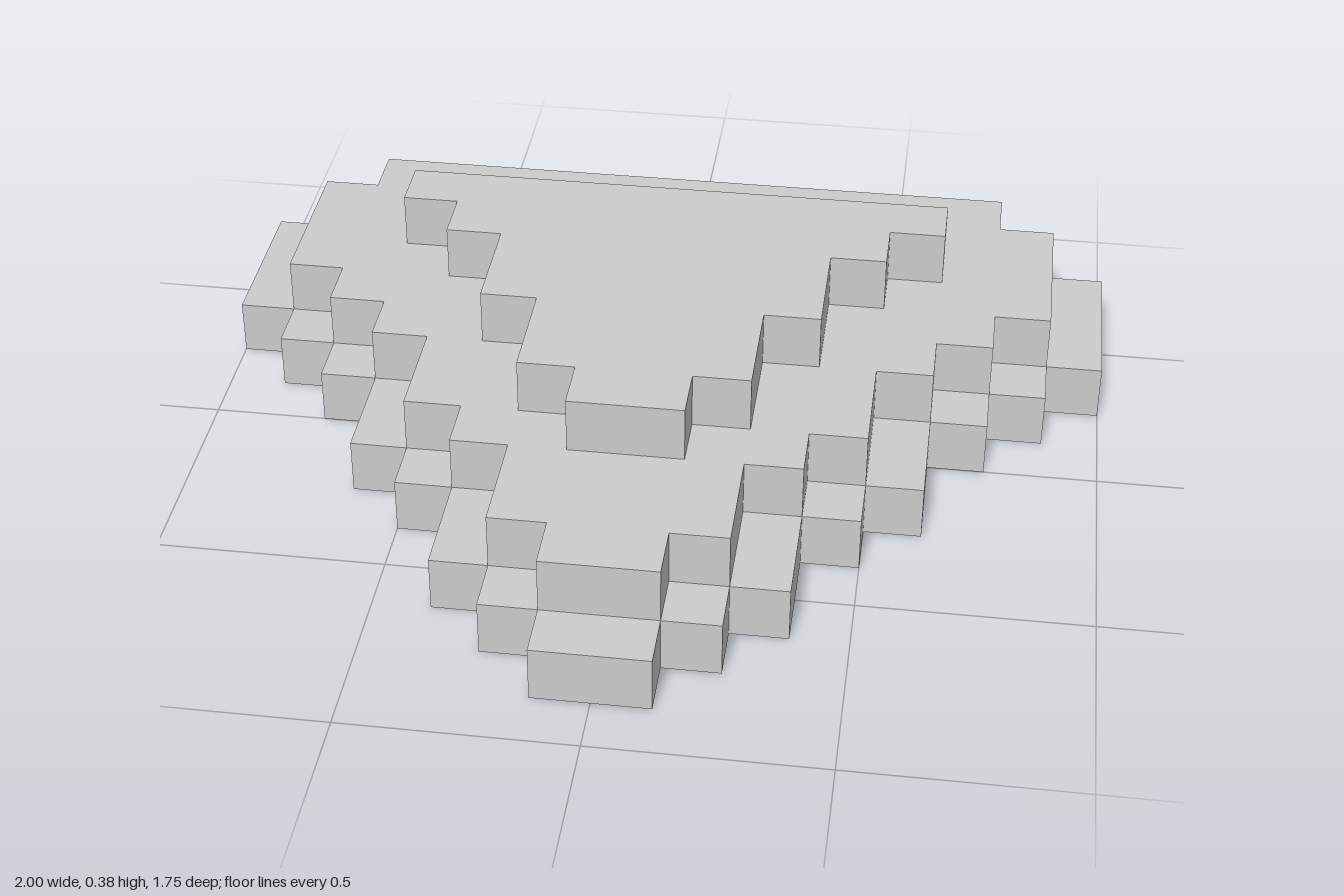
import * as THREE from 'three';

const U = 0.125; // block size

// Each terrace: back edge, then [half width, front edge] of every step, in blocks
const TERRACES = [
  { name: 'bottomTerrace', back: -7, steps: [[6, -6], [7, -5], [8, -2], [7, -1], [6, 0], [5, 2], [4, 3], [3, 5], [2, 6], [1, 7]] },
  { name: 'middleTerrace', back: -6, steps: [[6, -5], [7, -2], [6, -1], [5, 0], [4, 2], [3, 3], [2, 5], [1, 6]] },
  { name: 'topTerrace', back: -4, steps: [[5, -3], [4, -2], [3, 0], [2, 2], [1, 3]] },
];

// Stepped outline mirrored across x = 0
function steppedShape(back, steps) {
  const side = [];
  let z = back;
  for (const [half, front] of steps) {
    side.push([half, z], [half, front]);
    z = front;
  }
  const mirrored = side.map(([x, y]) => [-x, y]).reverse();
  return new THREE.Shape([...side, ...mirrored].map(([x, y]) => new THREE.Vector2(x * U, y * U)));
}

export function createModel() {
  const group = new THREE.Group();
  group.name = 'steppedMound';
  const material = new THREE.MeshStandardMaterial({ color: 0xcccccc, flatShading: true });

  // Stack the terraces, one block high each
  TERRACES.forEach(({ name, back, steps }, level) => {
    const geometry = new THREE.ExtrudeGeometry(steppedShape(back, steps), { depth: U, bevelEnabled: false });
    geometry.rotateX(Math.PI / 2);
    const mesh = new THREE.Mesh(geometry, material);
    mesh.name = name;
    mesh.position.y = (level + 1) * U;
    group.add(mesh);
  });
  return group;
}
